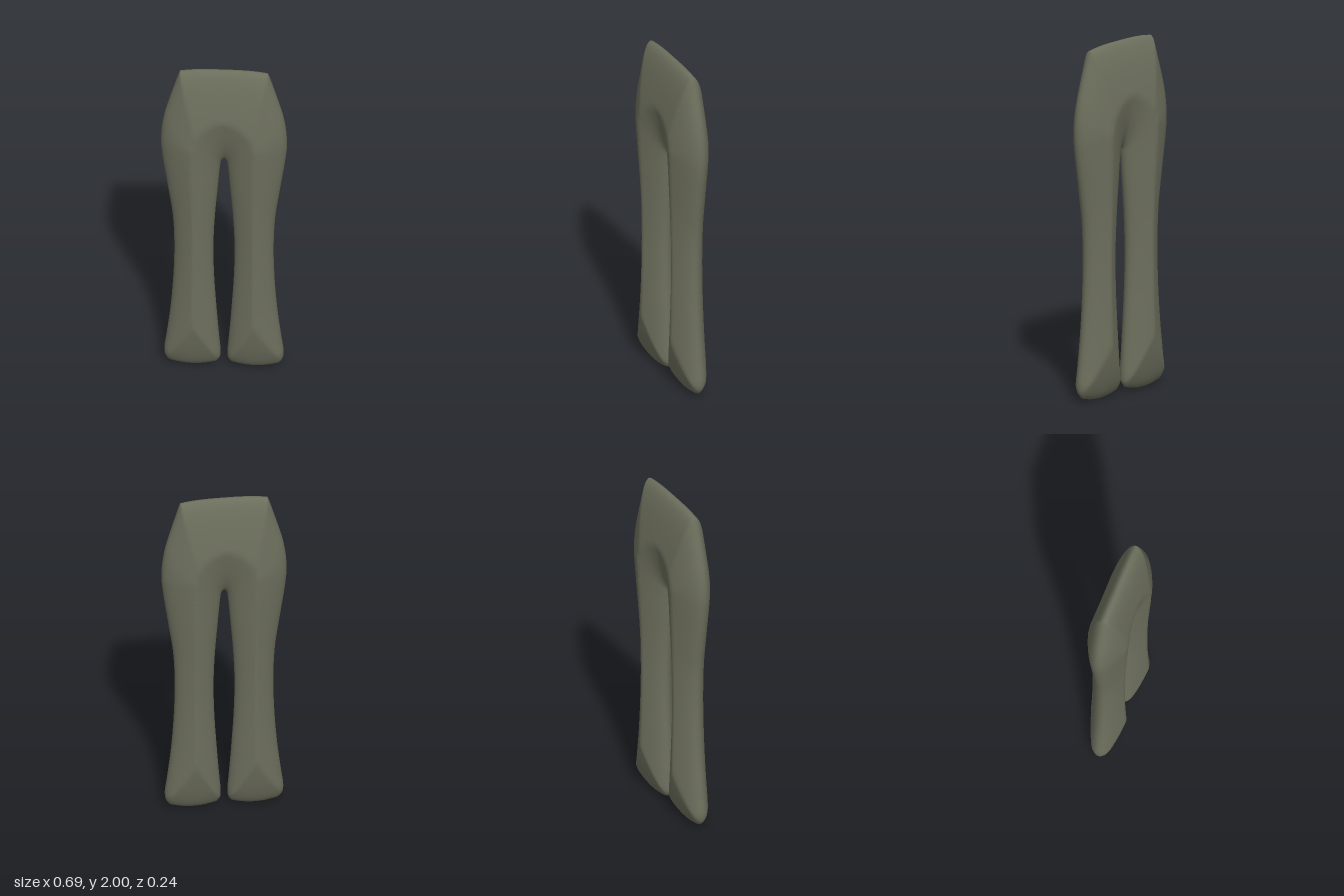
import * as THREE from 'three';
import { mergeVertices } from 'three/addons/utils/BufferGeometryUtils.js';

const CROTCH = 1.405;
const THICK = 0.12;          // greatest half thickness
const REACH_X = 0.171;       // sideways distance from the edge to full thickness
const REACH_Y = 0.42;        // vertical distance from the edge to full thickness

// Half outline as [x, y] points, from hem to waist
const OUTER = [[0.3, 0], [0.32, 0.02], [0.328, 0.06], [0.314, 0.2], [0.292, 0.4], [0.278, 0.6], [0.273, 0.8],
  [0.281, 1], [0.308, 1.2], [0.337, 1.4], [0.346, 1.5], [0.342, 1.6], [0.326, 1.7], [0.302, 1.8], [0.274, 1.9], [0.25, 1.98], [0.242, 2]];
const INNER = [[0.04, 0], [0.023, 0.02], [0.019, 0.06], [0.028, 0.2], [0.042, 0.4], [0.054, 0.6], [0.058, 0.8],
  [0.05, 1], [0.034, 1.2], [0.021, 1.35], [0.014, 1.39], [0, CROTCH]];

// Smooth curve through the points, looked up by height
function edge(points) {
  const pts = new THREE.CatmullRomCurve3(points.map(([x, y]) => new THREE.Vector3(x, y, 0))).getPoints(300);
  return (y) => {
    let i = 1;
    while (i < pts.length - 1 && pts[i].y < y) i++;
    const a = pts[i - 1], b = pts[i];
    const k = THREE.MathUtils.clamp((y - a.y) / (b.y - a.y), 0, 1);
    return a.x + (b.x - a.x) * k;
  };
}

const ease = (k) => (1 - Math.cos(Math.PI * k)) / 2;

function distanceToSegment(p, a, b) {
  const dx = b[0] - a[0], dy = b[1] - a[1];
  const len = dx * dx + dy * dy;
  const k = len ? THREE.MathUtils.clamp(((p[0] - a[0]) * dx + (p[1] - a[1]) * dy) / len, 0, 1) : 0;
  return Math.hypot(p[0] - a[0] - k * dx, p[1] - a[1] - k * dy);
}

function trousersGeometry() {
  const legRows = 84, hipRows = 40, rows = legRows + hipRows, cols = 28;
  const outer = edge(OUTER), inner = edge(INNER);

  // Flat grid over one half: a leg and half of the hips
  const grid = [];
  for (let r = 0; r <= rows; r++) {
    const t = r <= legRows ? CROTCH * ease(r / legRows) : CROTCH + (2 - CROTCH) * ease((r - legRows) / hipRows);
    const x0 = r < legRows ? inner(t) : 0, x1 = outer(t);
    const row = [];
    for (let c = 0; c <= cols; c++) {
      const x = x0 + (x1 - x0) * ease(c / cols);
      // Bowed hem and slightly arched waist
      const hem = 0.022 * ((x - 0.17) / 0.13) ** 2 * Math.max(0, 1 - t / 0.3);
      const waist = 0.018 * (x / 0.25) ** 3 * Math.max(0, (t - 1.7) / 0.3);
      row.push([x, t + hem - waist]);
    }
    grid.push(row);
  }

  // Outline: up the inseam, round the hem, up the side and along the waist
  const outline = [];
  for (let r = legRows; r > 0; r--) outline.push(grid[r][0]);
  outline.push(...grid[0]);
  for (let r = 1; r < rows; r++) outline.push(grid[r][cols]);
  outline.push(...[...grid[rows]].reverse());
  const scaled = outline.map(([x, y]) => [x / REACH_X, y / REACH_Y]);
  const onEdge = new Set(outline);

  // Puff the flat shape out with distance from the outline
  const depth = grid.map((row) => row.map((p) => {
    if (onEdge.has(p)) return 0;
    const q = [p[0] / REACH_X, p[1] / REACH_Y];
    let d = 1;
    for (let i = 1; i < scaled.length; i++) d = Math.min(d, distanceToSegment(q, scaled[i - 1], scaled[i]));
    return THICK * Math.sqrt(d);
  }));

  // Mirror the quarter to left and right, front and back
  const pos = [], index = [], stride = cols + 1;
  for (const sx of [1, -1]) for (const sz of [1, -1]) {
    const base = pos.length / 3;
    grid.forEach((row, r) => row.forEach(([x, y], c) => pos.push(sx * x, y, sz * depth[r][c])));
    for (let r = 0; r < rows; r++) for (let c = 0; c < cols; c++) {
      const a = base + r * stride + c, b = a + 1, d = a + stride, e = d + 1;
      if (sx * sz > 0) index.push(a, b, e, a, e, d);
      else index.push(a, e, b, a, d, e);
    }
  }
  const geometry = new THREE.BufferGeometry();
  geometry.setAttribute('position', new THREE.Float32BufferAttribute(pos, 3));
  geometry.setIndex(index);
  const welded = mergeVertices(geometry, 1e-5);
  welded.computeVertexNormals();
  return welded;
}

export function createModel() {
  const cloth = new THREE.MeshStandardMaterial({ color: 0x6c6e5c });
  cloth.name = 'olive cloth';
  const trousers = new THREE.Mesh(trousersGeometry(), cloth);
  trousers.name = 'trousers';
  const group = new THREE.Group();
  group.name = 'flaredTrousers';
  group.add(trousers);
  return group;
}
